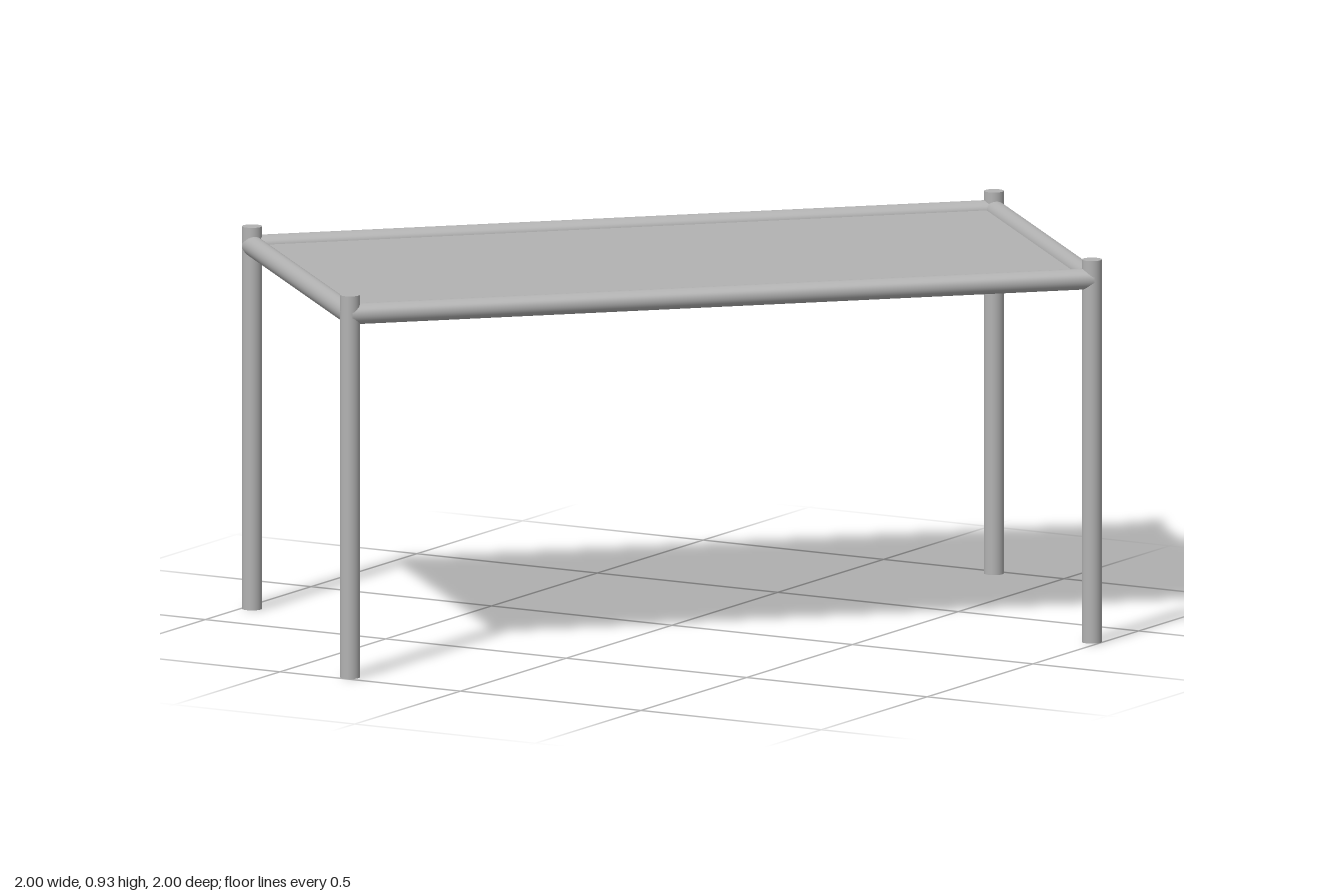
import * as THREE from 'three';

export function createModel() {
  const model = new THREE.Group();
  const grey = new THREE.MeshStandardMaterial({ color: 0xb2b2b2 });
  grey.name = 'grey metal';

  const postRadius = 0.024, postHeight = 0.93;
  const railRadius = 0.025, railY = 0.883;
  const a = 0.976, b = 0.32; // corner offsets of the diagonal rectangle
  const corners = [[-a, b], [-b, a], [a, -b], [b, -a]];

  const add = (name, geometry) => {
    const mesh = new THREE.Mesh(geometry, grey);
    mesh.name = name;
    model.add(mesh);
    return mesh;
  };

  // Table turned 45 degrees: side lengths follow from the corners
  const shortSide = Math.SQRT2 * (a - b);
  const longSide = Math.SQRT2 * (a + b);

  corners.forEach(([x, z], i) => {
    // Upright post
    add('post', new THREE.CylinderGeometry(postRadius, postRadius, postHeight, 32))
      .position.set(x, postHeight / 2, z);

    // Horizontal rail to the next post
    const [nx, nz] = corners[(i + 1) % 4];
    const length = i % 2 ? longSide : shortSide;
    const rail = add('rail', new THREE.CylinderGeometry(railRadius, railRadius, length, 32));
    rail.position.set((x + nx) / 2, railY, (z + nz) / 2);
    rail.quaternion.setFromUnitVectors(
      new THREE.Vector3(0, 1, 0),
      new THREE.Vector3(nx - x, 0, nz - z).normalize()
    );
  });

  // Thin panel filling the frame
  const panel = add('panel', new THREE.BoxGeometry(longSide, 0.01, shortSide));
  panel.position.y = railY;
  panel.rotation.y = Math.PI / 4;

  return model;
}
